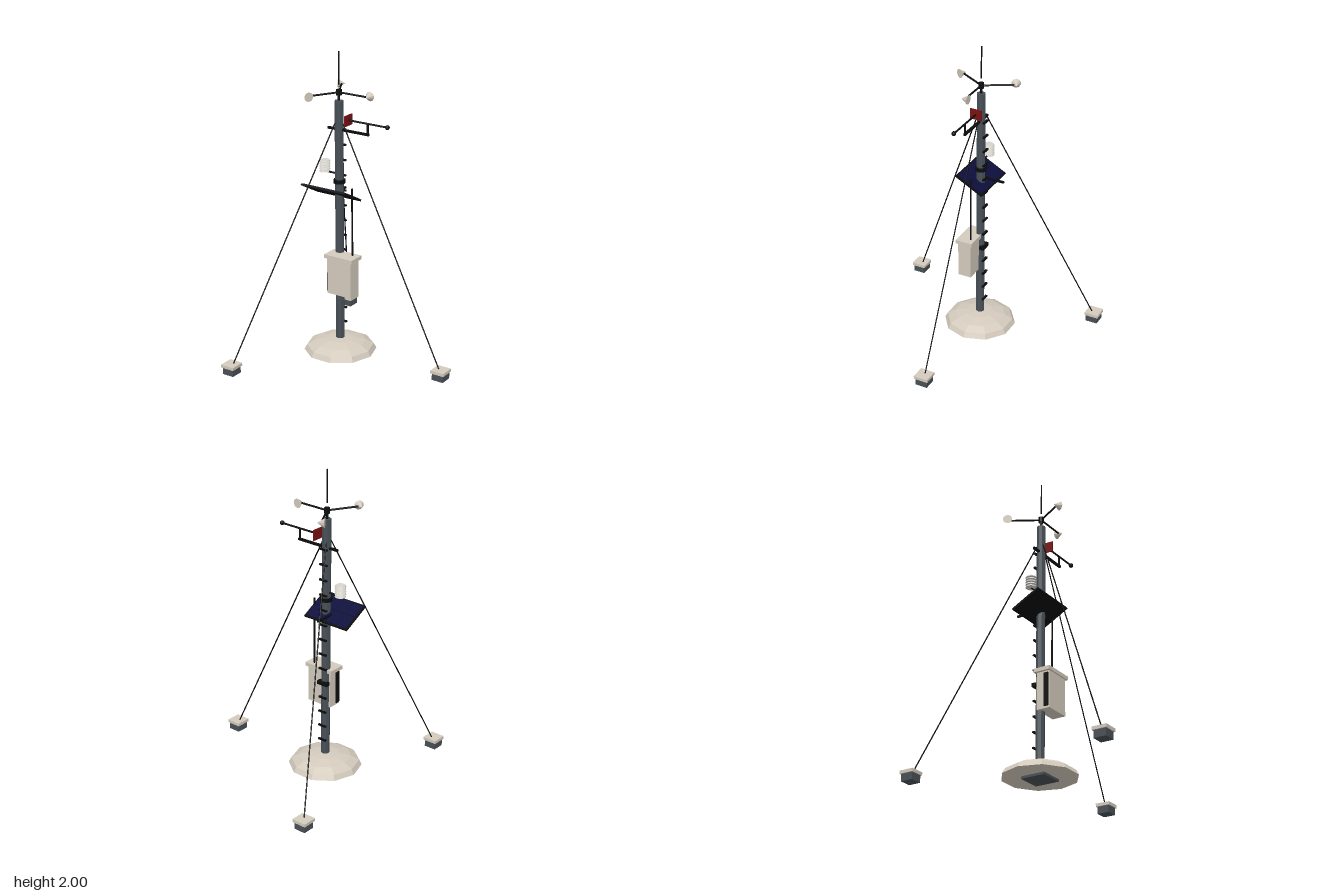
import * as THREE from 'three';

const mat = (name, color) => {
  const m = new THREE.MeshStandardMaterial({ color, flatShading: true });
  m.name = name;
  return m;
};

export function createModel() {
  const pale = mat('pale stone', 0xd3cabc);
  const slate = mat('slate metal', 0x485056);
  const black = mat('black metal', 0x0c0c0e);
  const navy = mat('navy cells', 0x0c0e3c);
  const red = mat('red fin', 0x7a1012);
  const white = mat('shield white', 0xd6d4cc);

  const root = new THREE.Group();
  root.name = 'weatherStation';
  const MX = -0.19; // mast axis

  const add = (name, geo, material, x = 0, y = 0, z = 0, parent = root) => {
    const m = new THREE.Mesh(geo, material);
    m.name = name;
    m.position.set(x, y, z);
    parent.add(m);
    return m;
  };
  const box = (name, material, w, h, d, x, y, z, parent) =>
    add(name, new THREE.BoxGeometry(w, h, d), material, x, y, z, parent);
  const cyl = (name, material, r, h, x, y, z, sides = 8, parent = root, r2 = r) =>
    add(name, new THREE.CylinderGeometry(r2, r, h, sides), material, x, y, z, parent);
  // straight rod between two points
  const rod = (name, a, b, r, material = black, parent = root, sides = 6) => {
    const p = new THREE.Vector3(...a), q = new THREE.Vector3(...b);
    const d = q.clone().sub(p);
    const m = cyl(name, material, r, d.length(), 0, 0, 0, sides, parent);
    m.position.copy(p).add(q).multiplyScalar(0.5);
    m.quaternion.setFromUnitVectors(new THREE.Vector3(0, 1, 0), d.normalize());
    return m;
  };

  // Foundation: foot block, faceted dome and its underside
  box('footBlock', slate, 0.16, 0.03, 0.16, MX, 0.015, 0);
  const dome = add('baseDome', new THREE.SphereGeometry(0.235, 10, 4, 0, Math.PI * 2, 0, Math.PI / 2), pale, MX, 0.015, 0);
  dome.scale.y = 0.36;
  const under = add('baseUnderside', new THREE.CircleGeometry(0.235, 10), pale, MX, 0.015, 0);
  under.rotation.x = Math.PI / 2;

  // Mast with climbing rungs on the back
  cyl('mast', slate, 0.028, 1.67, MX, 0.855, 0, 8);
  for (let y = 0.2; y < 1.52; y += 0.1) box('rung', black, 0.058, 0.01, 0.014, MX, y, -0.031);
  cyl('collar', black, 0.039, 0.024, MX, 1.168, 0, 8);

  // Guy wires and anchors, and the cup rotor, in three directions
  for (let i = 0; i < 3; i++) {
    const a = (i * Math.PI * 2) / 3, c = Math.cos(a), s = -Math.sin(a);
    const ax = MX + 0.76 * c, az = 0.76 * s;
    box('anchorBlock', slate, 0.08, 0.05, 0.08, ax, 0.025, az);
    box('anchorCap', pale, 0.095, 0.02, 0.095, ax, 0.056, az);
    rod('guyWire', [MX + 0.027 * c, 1.55, 0.027 * s], [MX + 0.748 * c, 0.062, 0.748 * s], 0.004);

    const arm = new THREE.Group();
    arm.name = 'cupArm';
    arm.position.set(MX, 1.742, 0);
    arm.rotation.y = a;
    root.add(arm);
    rod('armRod', [0, 0, 0], [0.2, 0, 0], 0.006, black, arm);
    const cup = add('cup', new THREE.ConeGeometry(0.03, 0.046, 10), pale, 0.213, 0, 0, arm);
    cup.rotation.x = Math.PI / 2;
  }
  cyl('rotorShaft', black, 0.008, 0.06, MX, 1.715, 0);
  cyl('rotorHub', black, 0.018, 0.036, MX, 1.742, 0, 8);
  cyl('antenna', black, 0.005, 0.21, MX, 1.895, 0, 6);

  // Wind vane on its boom
  box('vaneBoom', black, 0.305, 0.014, 0.014, -0.122, 1.505, 0);
  rod('vanePost', [0.022, 1.505, 0], [0.022, 1.575, 0], 0.007);
  rod('vaneRod', [-0.12, 1.575, 0], [0.165, 1.575, 0], 0.006);
  add('vaneTip', new THREE.SphereGeometry(0.015, 8, 6), black, 0.165, 1.575, 0);
  box('vaneFin', red, 0.008, 0.068, 0.08, -0.12, 1.575, 0);

  // Louvred sensor shield
  rod('shieldArm', [MX, 1.215, 0], [-0.3, 1.215, 0], 0.006);
  cyl('shieldCore', white, 0.018, 0.07, -0.3, 1.25, 0, 8);
  for (let i = 0; i < 5; i++)
    cyl('shieldPlate', white, 0.036, 0.009, -0.3, 1.218 + i * 0.0165, 0, 12, root, 0.031);

  // Solar panel tilted toward the back
  const panel = new THREE.Group();
  panel.name = 'solarPanel';
  panel.position.set(-0.238, 1.09, 0.025);
  panel.rotation.x = -0.49;
  root.add(panel);
  box('panelFrame', black, 0.332, 0.012, 0.21, 0, 0, 0, panel);
  for (let i = 0; i < 4; i++)
    for (let j = 0; j < 2; j++)
      box('panelCell', navy, 0.077, 0.004, 0.094, (i - 1.5) * 0.079, 0.007, (j - 0.5) * 0.097, panel);
  box('panelStrut', black, 0.012, 0.012, 0.14, -0.238, 1.077, -0.07);

  // Equipment cabinet with lid, hinge, mast clamp and cable conduit
  box('cabinet', pale, 0.178, 0.25, 0.09, -0.139, 0.555, 0.043);
  box('cabinetLid', pale, 0.21, 0.024, 0.114, -0.14, 0.682, 0.041);
  box('cabinetHinge', black, 0.01, 0.215, 0.03, -0.23, 0.55, 0.066);
  box('cabinetClamp', black, 0.075, 0.024, 0.03, MX, 0.6, -0.025);
  rod('conduit', [-0.084, 0.69, 0.015], [-0.084, 1.14, 0.015], 0.006);

  return root;
}
